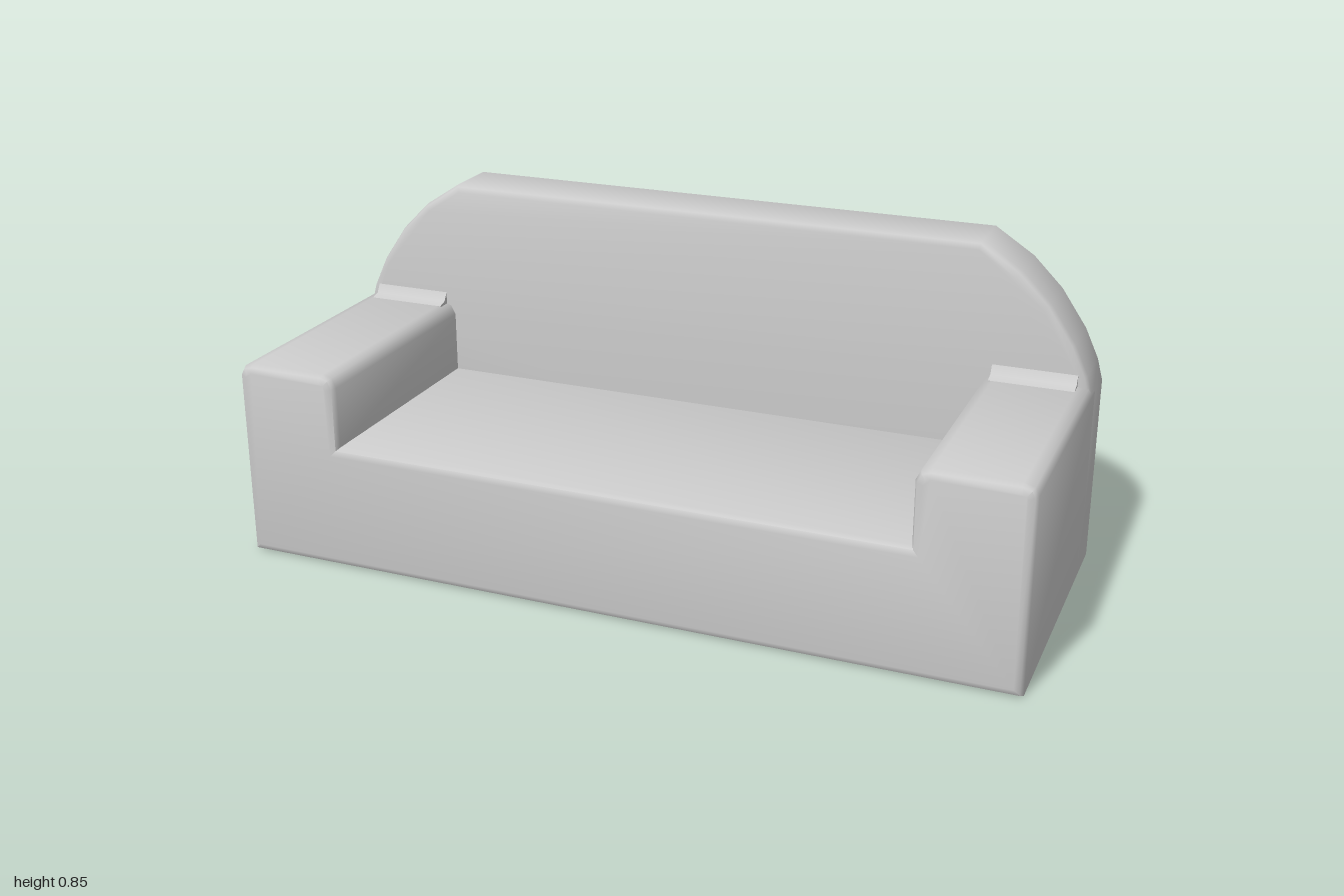
import * as THREE from 'three';
import { toCreasedNormals } from 'three/addons/utils/BufferGeometryUtils.js';

const material = new THREE.MeshStandardMaterial({ color: 0xcccccc });

// Closed outline symmetric about x = 0, from its right half (bottom to top)
function mirroredShape(half) {
  const left = half.map(([x, y]) => [-x, y]).reverse();
  return new THREE.Shape([...half, ...left].map(([x, y]) => new THREE.Vector2(x, y)));
}

// Soft-edged slab between two z planes; the bevel stays inside the outline
function softSlab(name, shape, zBack, zFront, bevel) {
  const geo = new THREE.ExtrudeGeometry(shape, {
    depth: zFront - zBack - 2 * bevel,
    bevelEnabled: true,
    bevelSize: bevel,
    bevelThickness: bevel,
    bevelOffset: -bevel,
    bevelSegments: 2,
  });
  geo.translate(0, 0, zBack + bevel);
  const mesh = new THREE.Mesh(toCreasedNormals(geo, 0.9), material);
  mesh.name = name;
  return mesh;
}

export function createModel() {
  const sofa = new THREE.Group();
  sofa.name = 'sofa';

  // Backrest with faceted round shoulders
  const back = mirroredShape([
    [1, 0], [1, 0.48], [0.985, 0.535], [0.95, 0.61], [0.885, 0.705], [0.81, 0.78], [0.71, 0.845],
  ]);
  sofa.add(softSlab('backrest', back, -0.403, -0.228, 0.02));

  // Seat and both armrests in one U-shaped body
  const body = mirroredShape([
    [1, 0], [1, 0.485], [0.99, 0.504], [0.965, 0.511],
    [0.765, 0.511], [0.742, 0.504], [0.73, 0.48], [0.73, 0.322],
  ]);
  sofa.add(softSlab('seatAndArms', body, -0.3, 0.403, 0.02));

  // Small fillets where the armrests meet the backrest
  const fillet = new THREE.Shape([
    [0.24, 0.5], [0.19, 0.5], [0.19, 0.511], [0.215, 0.518], [0.228, 0.54], [0.24, 0.54],
  ].map(([z, y]) => new THREE.Vector2(z, y)));
  for (const side of [-1, 1]) {
    const geo = new THREE.ExtrudeGeometry(fillet, { depth: 0.21, bevelEnabled: false });
    geo.translate(0, 0, -0.105).rotateY(Math.PI / 2);
    // Shape x now runs along -z
    geo.translate(side * 0.86, 0, 0);
    const mesh = new THREE.Mesh(toCreasedNormals(geo, 0.9), material);
    mesh.name = side > 0 ? 'leftArmFillet' : 'rightArmFillet';
    sofa.add(mesh);
  }
  return sofa;
}
